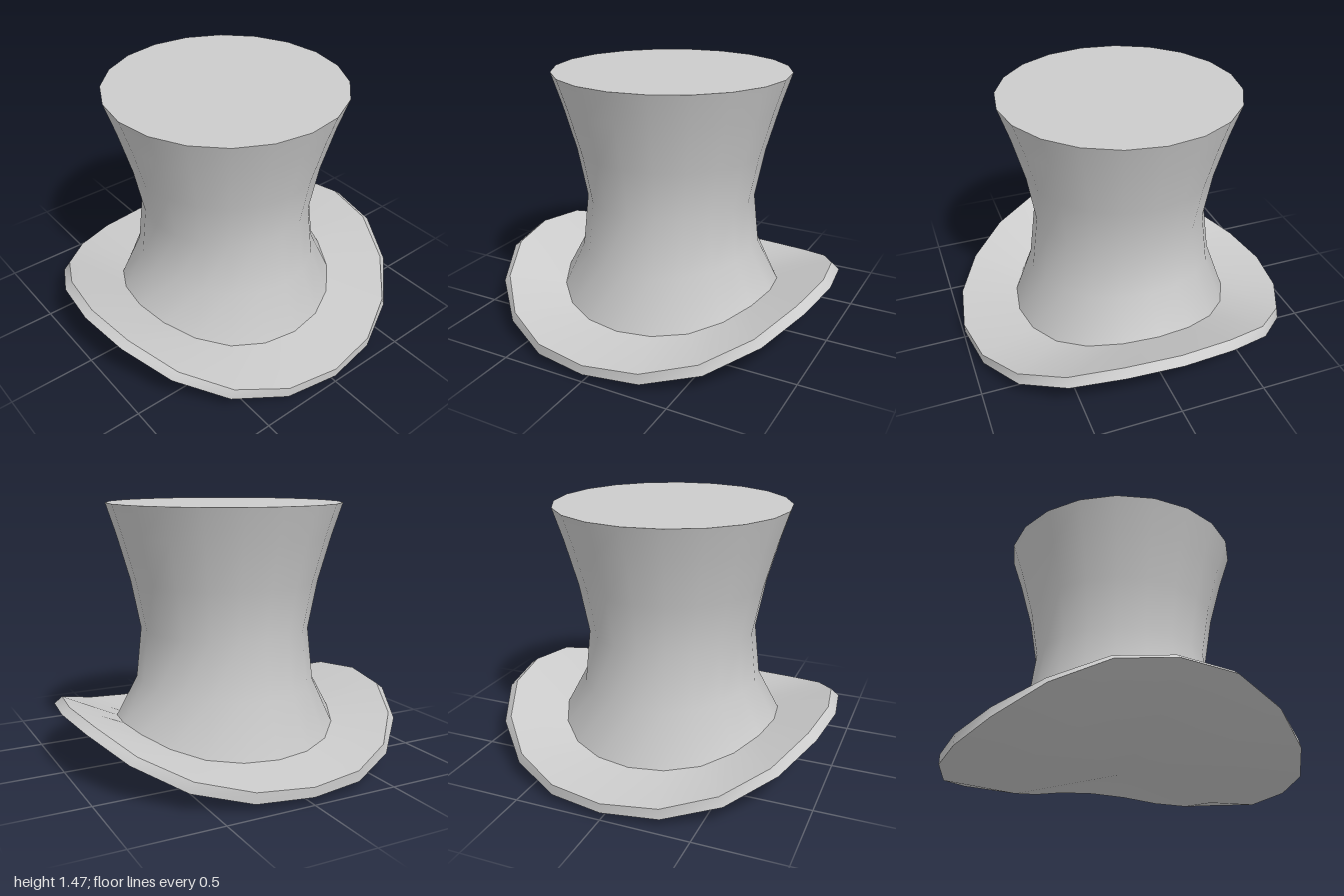
import * as THREE from 'three';
import { mergeVertices } from 'three/addons/utils/BufferGeometryUtils.js';

const SIDES = 20;

// One ring of points: rx/rz are radii, heights run from the front (0) to the side (5)
// and are mirrored into all four quarters; pull draws the sides inwards.
function ring(rx, rz, heights, pull = 0) {
  const points = [];
  for (let i = 0; i < SIDES; i++) {
    const a = (i / SIDES) * Math.PI * 2;
    const k = Math.min(i % 10, 10 - (i % 10));
    const s = Math.sin(a);
    const y = Array.isArray(heights) ? heights[k] : heights;
    points.push([s * (rx - pull * s * s), y, Math.cos(a) * rz]);
  }
  return points;
}

// Smooth skin over a list of rings, ordered so that the faces point outwards
function skin(name, rings, material) {
  const index = [];
  for (let r = 0; r < rings.length - 1; r++) {
    for (let i = 0; i < SIDES; i++) {
      const j = (i + 1) % SIDES;
      const a = r * SIDES + i, b = r * SIDES + j;
      const c = a + SIDES, d = b + SIDES;
      const lowerIsPoint = rings[r].isPoint, upperIsPoint = rings[r + 1].isPoint;
      if (!lowerIsPoint) index.push(a, b, d);
      if (!upperIsPoint) index.push(a, d, c);
    }
  }
  let geometry = new THREE.BufferGeometry();
  geometry.setAttribute('position', new THREE.Float32BufferAttribute(rings.flat(2), 3));
  geometry.setIndex(index);
  geometry = mergeVertices(geometry, 1e-4);
  geometry.computeVertexNormals();
  const mesh = new THREE.Mesh(geometry, material);
  mesh.name = name;
  return mesh;
}

// Ring collapsed to a single point on the axis
function centre(y) {
  const points = ring(0, 0, y);
  points.isPoint = true;
  return points;
}

export function createModel() {
  const hat = new THREE.Group();
  hat.name = 'topHat';
  const felt = new THREE.MeshStandardMaterial({ color: 0xcccccc });

  // Brim rings, curling up towards both sides
  const underInner = ring(0.65, 0.65, [0.005, 0.012, 0.028, 0.072, 0.122, 0.14]);
  const edgeBottom = ring(1.0, 0.995, [0.045, 0.052, 0.11, 0.218, 0.315, 0.34]);
  // Slight bulge at the diagonals of the lower edge
  for (const p of edgeBottom) p[0] *= 1 + 0.1 * p[2] * p[2] * (1 - p[2] * p[2]);
  const edgeTop = ring(1.0, 0.995, [0.1, 0.113, 0.168, 0.257, 0.35, 0.375], 0.045);
  const crownBase = ring(0.645, 0.65, [0.125, 0.13, 0.147, 0.185, 0.225, 0.24]);

  // Crown rings, narrow at the waist and flared at the top
  const crownTop = ring(0.68, 0.68, 1.475);
  const crown = [
    crownBase,
    ring(0.52, 0.547, [0.42, 0.422, 0.43, 0.443, 0.456, 0.46]),
    ring(0.49, 0.505, 0.75),
    ring(0.546, 0.55, 1.03),
    ring(0.62, 0.62, 1.29),
    crownTop,
  ];

  hat.add(
    skin('brimUnderside', [centre(0.075), underInner, edgeBottom], felt),
    skin('brimEdge', [edgeBottom, edgeTop], felt),
    skin('brimTop', [edgeTop, crownBase], felt),
    skin('crown', crown, felt),
    skin('crownLid', [crownTop, centre(1.475)], felt),
  );
  return hat;
}
